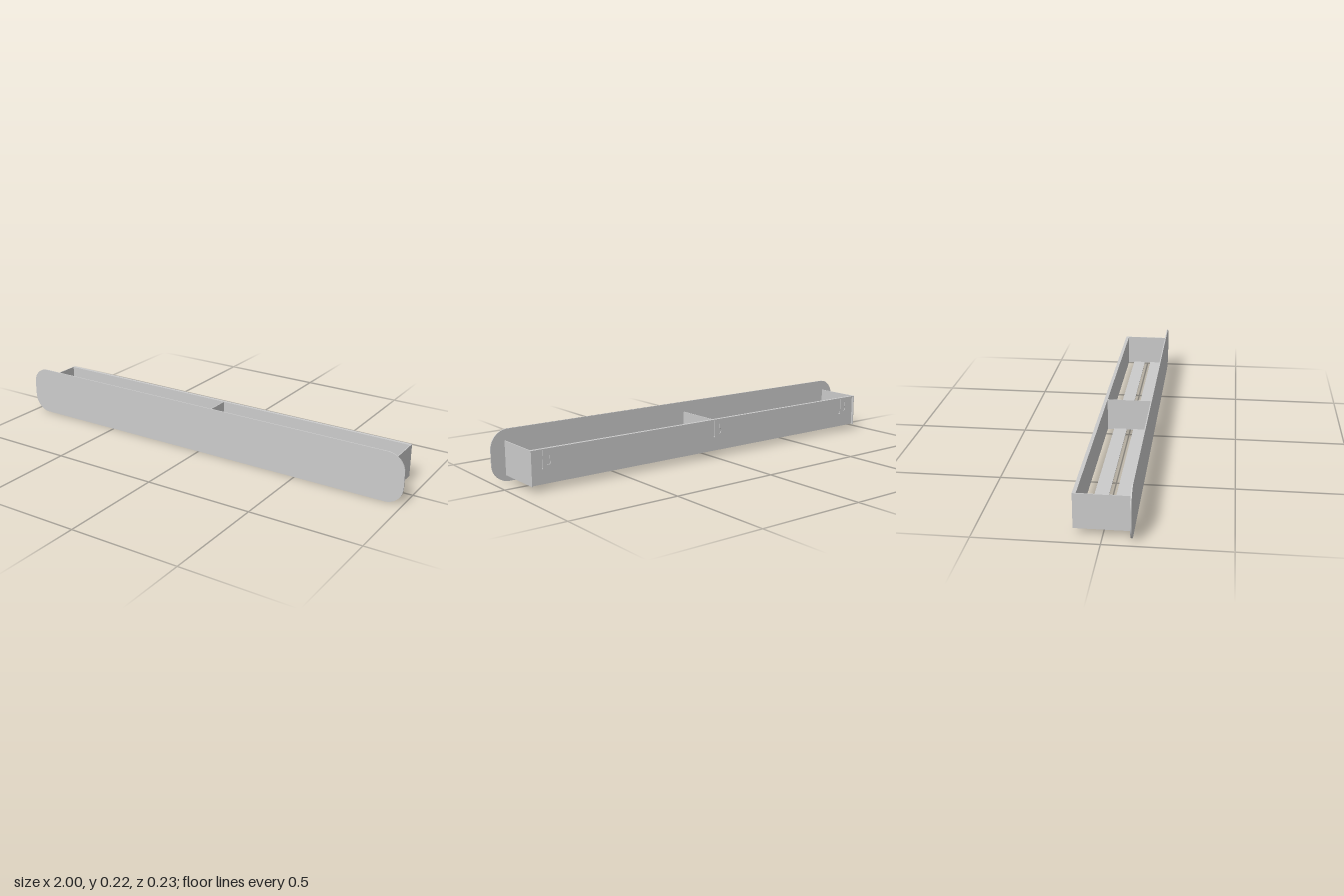
import * as THREE from 'three';

const material = new THREE.MeshStandardMaterial({ color: 0xcccccc, side: THREE.DoubleSide });
const SHEET = 0.004;             // sheet thickness
const BOTTOM = 0.027, TOP = 0.176;
const FRONT = 0.111, BACK = -0.115, WALL = -0.1;
const HALF = 0.936;              // half length of the tray

// Box given by its lower and upper limits on each axis
function box(name, [x0, x1], [y0, y1], [z0, z1]) {
  const mesh = new THREE.Mesh(new THREE.BoxGeometry(x1 - x0, y1 - y0, z1 - z0), material);
  mesh.position.set((x0 + x1) / 2, (y0 + y1) / 2, (z0 + z1) / 2);
  mesh.name = name;
  return mesh;
}

// Front plate with rounded corners
function frontPanel() {
  const w = 1, h = 0.225, r = 0.08;
  const s = new THREE.Shape();
  s.moveTo(-w + r, 0);
  s.absarc(w - r, r, r, -Math.PI / 2, 0);
  s.absarc(w - r, h - r, r, 0, Math.PI / 2);
  s.absarc(-w + r, h - r, r, Math.PI / 2, Math.PI);
  s.absarc(-w + r, r, r, Math.PI, Math.PI * 1.5);
  const geometry = new THREE.ExtrudeGeometry(s, { depth: 0.005, bevelEnabled: false, curveSegments: 12 });
  const mesh = new THREE.Mesh(geometry, material);
  mesh.position.z = FRONT;
  mesh.name = 'frontPanel';
  return mesh;
}

// Hanging tab with a keyhole and a foot that rests on the rear wall
function hanger(x) {
  const group = new THREE.Group();
  const w = 0.024, h = 0.08;
  const s = new THREE.Shape();
  s.moveTo(-w, -h);
  s.lineTo(w, -h);
  s.lineTo(w, 0);
  s.lineTo(-w, 0);
  s.closePath();
  // Round entry below, narrow slot above
  const hole = new THREE.Path();
  hole.absarc(0, -0.052, 0.013, Math.PI * 0.35, Math.PI * 0.65, true);
  hole.absarc(0, -0.022, 0.006, Math.PI, 0, true);
  hole.closePath();
  s.holes.push(hole);
  const geometry = new THREE.ExtrudeGeometry(s, { depth: 0.003, bevelEnabled: false, curveSegments: 10 });
  const plate = new THREE.Mesh(geometry, material);
  plate.name = 'keyholePlate';
  group.add(plate, box('foot', [-w, w], [-h, -h + 0.003], [0.003, WALL - BACK]));
  group.position.set(x, TOP - SHEET, BACK);
  group.name = 'hanger';
  return group;
}

export function createModel() {
  const model = new THREE.Group();
  model.name = 'wallTray';
  model.add(frontPanel());

  // End panels
  for (const side of [-1, 1]) {
    const x = side * (HALF - SHEET / 2);
    model.add(box(side > 0 ? 'leftEndPanel' : 'rightEndPanel',
      [x - SHEET / 2, x + SHEET / 2], [BOTTOM, TOP], [BACK, FRONT]));
  }

  // Middle divider
  model.add(box('divider', [-SHEET / 2, SHEET / 2], [BOTTOM, TOP], [WALL, FRONT]));

  // Rear wall and the lip that turns backwards along its top
  const inner = [-HALF + SHEET, HALF - SHEET];
  model.add(box('rearWall', inner, [BOTTOM, TOP], [WALL - SHEET, WALL]));
  model.add(box('rearLip', inner, [TOP - SHEET, TOP], [BACK, WALL - SHEET]));

  // Floor slats
  for (const z of [-0.04, 0.05]) {
    model.add(box('floorSlat', inner, [BOTTOM, BOTTOM + SHEET], [z - 0.03, z + 0.03]));
  }

  // Hangers, the middle one set beside the divider
  for (const x of [-0.86, -0.03, 0.86]) model.add(hanger(x));

  return model;
}
